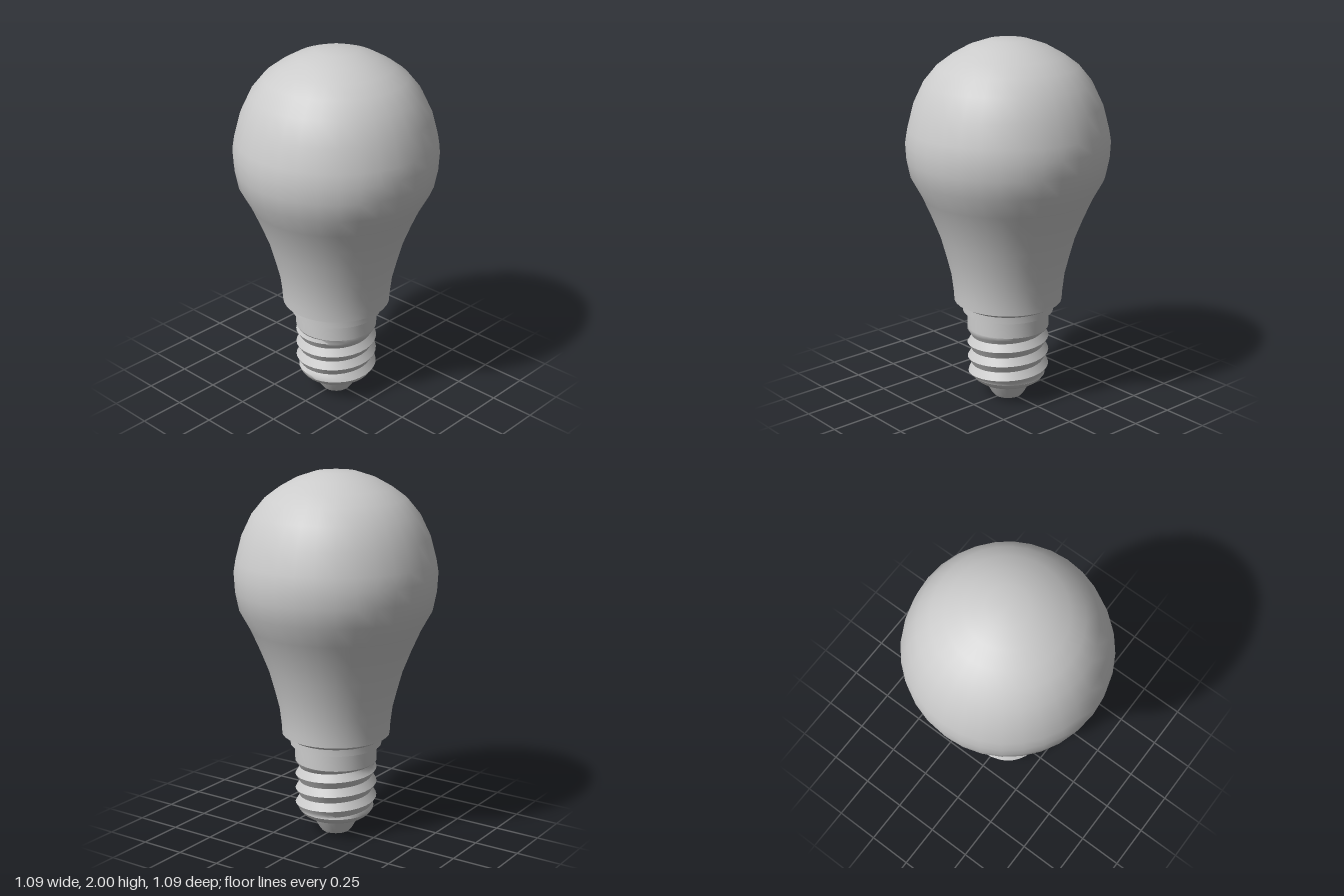
import * as THREE from 'three';
import { toCreasedNormals } from 'three/addons/utils/BufferGeometryUtils.js';

const SEGMENTS = 32;
const material = new THREE.MeshStandardMaterial({ color: 0xcccccc });

// Revolve a bottom-to-top [radius, height] profile
function revolve(name, profile) {
  const points = profile.map(([r, y]) => new THREE.Vector2(r, y));
  const mesh = new THREE.Mesh(toCreasedNormals(new THREE.LatheGeometry(points, SEGMENTS), 0.7), material);
  mesh.name = name;
  return mesh;
}

// Right-handed screw thread: the rows climb one pitch per turn and are cut flat at both ends
function screwThread(bottom, top) {
  const pitch = 0.083, peak = 0.225, depth = 0.025, firstPeak = 0.155;
  const rowsPerTurn = 4, rows = 24;
  const points = Array.from({ length: rows + 1 }, (_, j) => new THREE.Vector2(peak, j));
  const geometry = new THREE.LatheGeometry(points, SEGMENTS);
  const position = geometry.attributes.position;
  for (let i = 0; i <= SEGMENTS; i++) {
    const turn = i / SEGMENTS, angle = turn * Math.PI * 2;
    for (let j = 0; j <= rows; j++) {
      const climb = firstPeak + pitch * (turn + j / rowsPerTurn - 2);
      const y = THREE.MathUtils.clamp(climb, bottom, top);
      const phase = (y - firstPeak) / pitch - turn;
      let r = peak - depth * 2 * Math.abs(phase - Math.round(phase));
      // Blend into the plain rings above and below
      r = THREE.MathUtils.lerp(peak, r, Math.min(1, (top - y) / 0.02));
      r = THREE.MathUtils.lerp(0.205, r, Math.min(1, (y - bottom) / 0.02));
      position.setXYZ(i * (rows + 1) + j, r * Math.sin(angle), y, r * Math.cos(angle));
    }
  }
  const mesh = new THREE.Mesh(toCreasedNormals(geometry, 0.7), material);
  mesh.name = 'screwThread';
  return mesh;
}

export function createModel() {
  const model = new THREE.Group();
  model.name = 'lightBulb';

  // Rounded globe tapering into the lower housing
  model.add(revolve('globe', [
    [0.25, 0.545], [0.295, 0.57], [0.298, 0.62], [0.31, 0.72], [0.335, 0.82], [0.365, 0.93],
    [0.41, 1.045], [0.46, 1.16], [0.52, 1.27], [0.54, 1.37], [0.545, 1.46], [0.533, 1.53],
    [0.5, 1.655], [0.445, 1.77], [0.375, 1.855], [0.3, 1.91], [0.21, 1.96], [0.11, 1.993], [0, 2],
  ]));

  // Collar under the globe
  model.add(revolve('collar', [[0.2, 0.508], [0.25, 0.508], [0.25, 0.545]]));

  // Screw base
  model.add(revolve('baseSleeve', [[0.225, 0.415], [0.225, 0.508]]));
  model.add(screwThread(0.13, 0.415));
  model.add(revolve('baseShoulder', [[0.13, 0.083], [0.165, 0.092], [0.19, 0.11], [0.205, 0.13]]));

  // Conical contact at the bottom
  model.add(revolve('contactTip', [[0, 0], [0.08, 0], [0.095, 0.02], [0.13, 0.083]]));

  return model;
}
